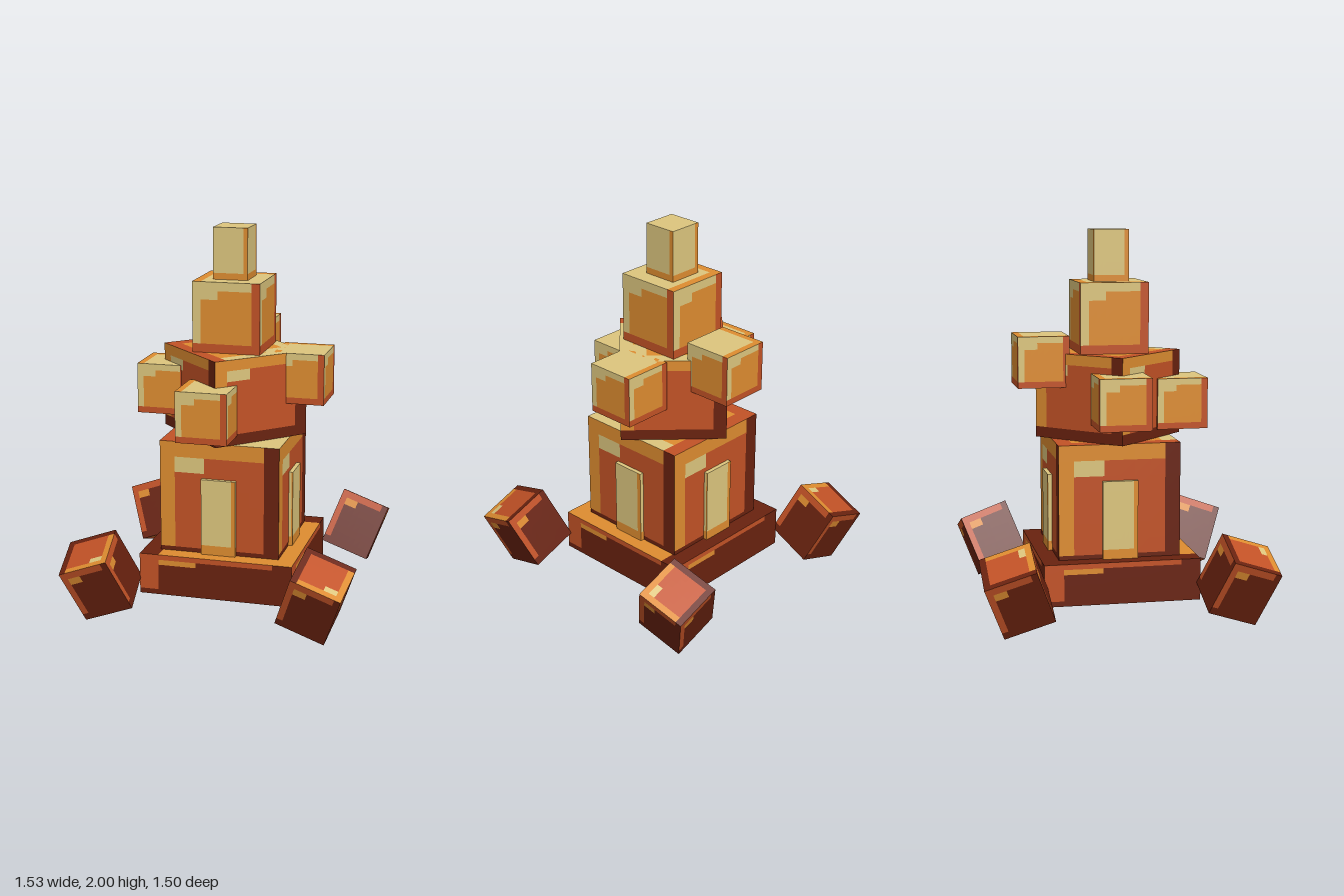
import * as THREE from 'three';

// Colour ramp from darkest to lightest; each block uses neighbouring steps of it.
const paint = (name, color) => {
  const m = new THREE.MeshStandardMaterial({ color });
  m.name = name;
  return m;
};
const RAMP = [
  paint('dark brown', 0x69220f),
  paint('rust red', 0xc25226),
  paint('warm orange', 0xdd8c30),
  paint('pale sand', 0xdcc57d),
];

// Painted face pattern: B bright border, H highlight, M main, S shaded border.
const PATTERN = [
  'BBBBBBBS',
  'BHHMMMMS',
  'BMMMMMMS',
  'BMMMMMMS',
  'BMMMMMMS',
  'BMMMMMMS',
  'BMMMMMMS',
  'SSSSSSSS',
];
const SHIFT = { S: -1, M: 0, B: 1, H: 2 };
const N = PATTERN.length;

// Box whose faces are split into cells, sorted into one group per colour.
function paintedBox(w, h, d, tone) {
  const geo = new THREE.BoxGeometry(w, h, d, N, N, N);
  const old = geo.index.array;
  const bins = RAMP.map(() => []);
  for (let face = 0; face < 6; face++) {
    const top = face === 2; // the top is one tone lighter and turned half round
    for (let row = 0; row < N; row++) {
      for (let col = 0; col < N; col++) {
        const key = top ? PATTERN[N - 1 - row][N - 1 - col] : PATTERN[row][col];
        const level = THREE.MathUtils.clamp(tone + (top ? 1 : 0) + SHIFT[key], 0, 3);
        const start = ((face * N + row) * N + col) * 6;
        for (let i = 0; i < 6; i++) bins[level].push(old[start + i]);
      }
    }
  }
  geo.setIndex(bins.flat());
  geo.clearGroups();
  let start = 0;
  bins.forEach((bin, level) => {
    if (bin.length) geo.addGroup(start, bin.length, level);
    start += bin.length;
  });
  return geo;
}

export function createModel() {
  const model = new THREE.Group();
  model.name = 'blockTower';

  const block = (name, size, pos, tone) => {
    const mesh = new THREE.Mesh(paintedBox(...size, tone), RAMP);
    mesh.name = name;
    mesh.position.set(...pos);
    model.add(mesh);
    return mesh;
  };

  // Central stack
  block('base', [0.82, 0.22, 0.82], [0, 0.2, 0], 0);
  block('body', [0.64, 0.66, 0.64], [0, 0.58, 0], 1);
  block('turnedBlock', [0.55, 0.45, 0.55], [0, 1.135, 0], 1).rotation.y = Math.PI / 4;
  block('upperBlock', [0.36, 0.37, 0.36], [0, 1.545, 0], 2);
  block('topBlock', [0.185, 0.27, 0.185], [0, 1.865, 0], 3);

  // One door panel on each side of the body
  for (let i = 0; i < 4; i++) {
    const a = (i * Math.PI) / 2;
    const door = block('door', [0.185, 0.41, 0.06], [Math.sin(a) * 0.312, 0.515, Math.cos(a) * 0.312], 3);
    door.rotation.y = a;
  }

  // Cubes stuck to the corners of the turned block
  const cube = [0.27, 0.268, 0.27];
  block('frontCube', cube, [-0.045, 1.09, 0.365], 2);
  block('rightCube', cube, [-0.365, 1.136, -0.003], 2);
  block('leftCube', cube, [0.365, 1.226, -0.045], 2);
  block('backCube', cube, [-0.003, 1.319, -0.365], 2);

  // Feet leaning outwards at the four corners
  const lean = THREE.MathUtils.degToRad(20);
  for (const sx of [-1, 1]) {
    for (const sz of [-1, 1]) {
      const name = (sz > 0 ? 'front' : 'back') + (sx > 0 ? 'Left' : 'Right') + 'Foot';
      const foot = block(name, [0.27, 0.315, 0.27], [sx * 0.57, 0.232, sz * 0.57], 0);
      foot.rotation.set(sz * lean, 0, -sx * lean, 'ZYX');
    }
  }
  return model;
}
